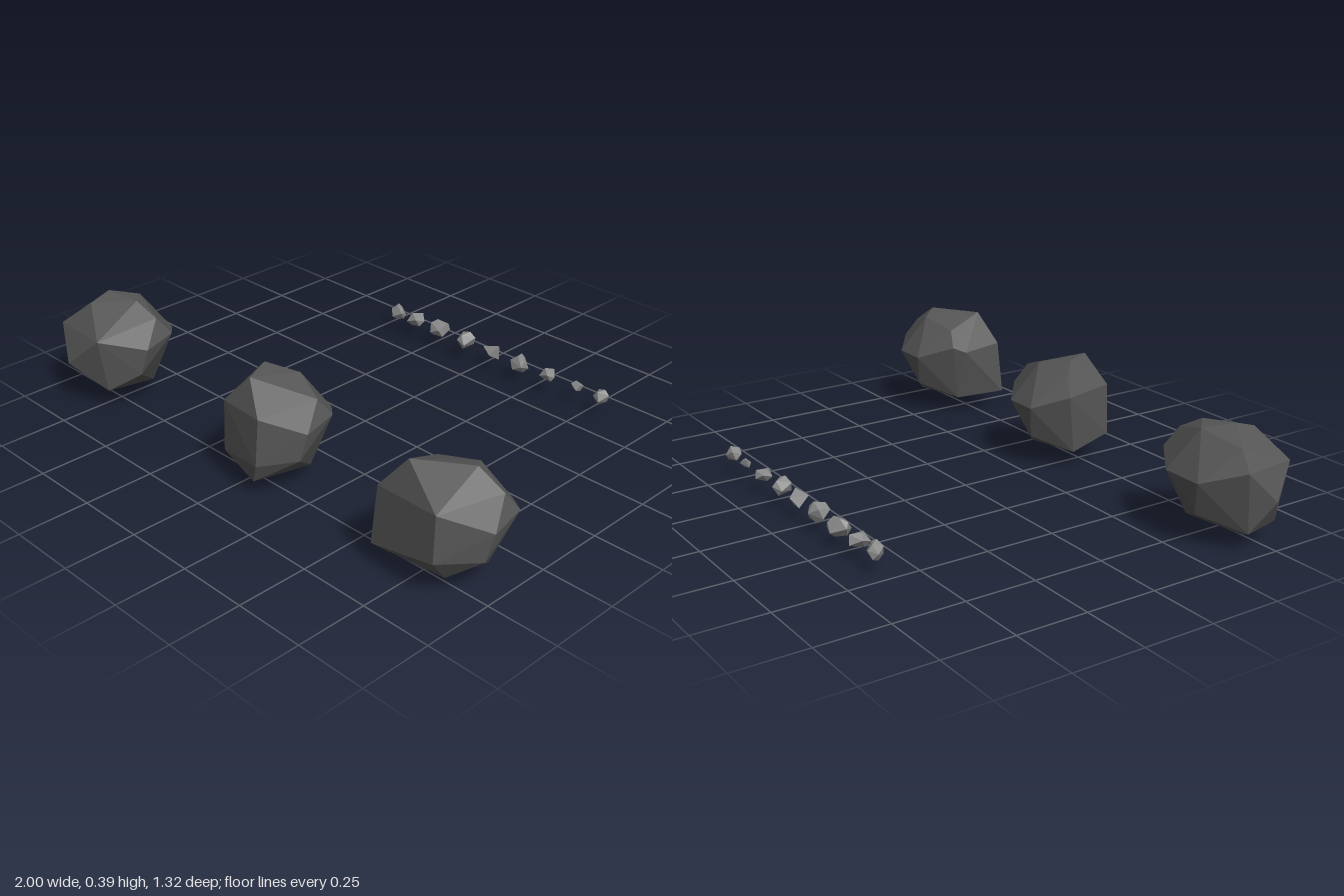
import * as THREE from 'three';
import { ConvexGeometry } from 'three/addons/geometries/ConvexGeometry.js';

const boulderGrey = new THREE.MeshStandardMaterial({ color: 0x555555, flatShading: true });
boulderGrey.name = 'boulder grey';
const pebbleGrey = new THREE.MeshStandardMaterial({ color: 0x8a8a8a, flatShading: true });
pebbleGrey.name = 'pebble grey';

// Corners of the blunt rear that all boulders share: x as a share of the half width, y, z
const rear = [
  [-0.35, 0.23, 0.277], [0.44, 0.225, 0.288], [0.95, 0.26, 0.365], [1, 0.235, 0.48],
  [0.9, 0.14, 0.5], [0.47, 0.05, 0.39], [-0.2, 0.115, 0.3], [-0.84, 0.065, 0.41],
  [-0.95, 0.28, 0.375], [-0.65, 0.335, 0.4], [0.15, 0.365, 0.375], [0.83, 0.325, 0.41],
];

// Each boulder: centre and half width of its rear, and the corners of its chiselled front
const boulders = [
  { name: 'rightBoulder', x: -0.795, halfWidth: 0.2, front: [
    [-0.83, 0.163, 0.657], [-0.94, 0.267, 0.595], [-0.83, 0.36, 0.54], [-0.7, 0.275, 0.615],
    [-0.84, 0, 0.5], [-0.936, 0.07, 0.55], [-0.7, 0.075, 0.585],
    [-1, 0.166, 0.49], [-0.83, 0.385, 0.46], [-0.71, 0.372, 0.43],
  ] },
  { name: 'middleBoulder', x: 0.06, halfWidth: 0.17, front: [
    [-0.06, 0.285, 0.575], [0.13, 0.295, 0.598], [0.128, 0.13, 0.612],
    [0.1, 0.06, 0.6], [-0.064, 0.1, 0.58], [0.03, 0.387, 0.54], [-0.02, 0.387, 0.435],
  ] },
  { name: 'leftBoulder', x: 0.82, halfWidth: 0.18, front: [
    [0.62, 0.075, 0.592], [0.63, 0.275, 0.575], [0.88, 0.294, 0.598], [0.885, 0.14, 0.612],
    [0.877, 0.06, 0.55], [0.72, 0.387, 0.54], [0.885, 0.387, 0.43], [0.625, 0.26, 0.42],
  ] },
];

// Row of pebbles: x, width, height, number of corners
const pebbles = [
  [-0.438, 0.058, 0.065, 12], [-0.337, 0.068, 0.05, 9], [-0.225, 0.072, 0.066, 12],
  [-0.083, 0.07, 0.068, 11], [0.048, 0.062, 0.06, 6], [0.187, 0.07, 0.066, 11],
  [0.32, 0.06, 0.045, 9], [0.445, 0.043, 0.034, 7], [0.554, 0.053, 0.056, 10],
];

function boulderGeometry(x, halfWidth, front) {
  const corners = [...front, ...rear.map(([share, y, z]) => [x + share * halfWidth, y, z])];
  return new ConvexGeometry(corners.map((corner) => new THREE.Vector3(...corner)));
}

function pebbleGeometry(width, height, count, seed) {
  // Corners spiralling over a sphere with a repeatable wobble, fitted to the size
  const points = [];
  for (let i = 0; i < count; i++) {
    const y = 1 - (2 * i + 1) / count;
    const angle = i * 2.4 + seed * 1.3 + 0.35 * Math.sin(i * 5.1 + seed * 3.7);
    const r = Math.sqrt(1 - y * y);
    points.push(new THREE.Vector3(r * Math.cos(angle), y, r * Math.sin(angle)));
  }
  const box = new THREE.Box3().setFromPoints(points);
  const centre = box.getCenter(new THREE.Vector3());
  const fit = new THREE.Vector3(width, height, width).divide(box.getSize(new THREE.Vector3()));
  points.forEach((p) => p.sub(centre).multiply(fit));
  return new ConvexGeometry(points);
}

export function createModel() {
  const model = new THREE.Group();
  model.name = 'rocks';

  for (const { name, x, halfWidth, front } of boulders) {
    const boulder = new THREE.Mesh(boulderGeometry(x, halfWidth, front), boulderGrey);
    boulder.name = name;
    model.add(boulder);
  }

  pebbles.forEach(([x, width, height, count], i) => {
    const pebble = new THREE.Mesh(pebbleGeometry(width, height, count, i + 1), pebbleGrey);
    pebble.position.set(x, 0.074, -0.622);
    pebble.name = 'pebble' + (i + 1);
    model.add(pebble);
  });

  return model;
}
